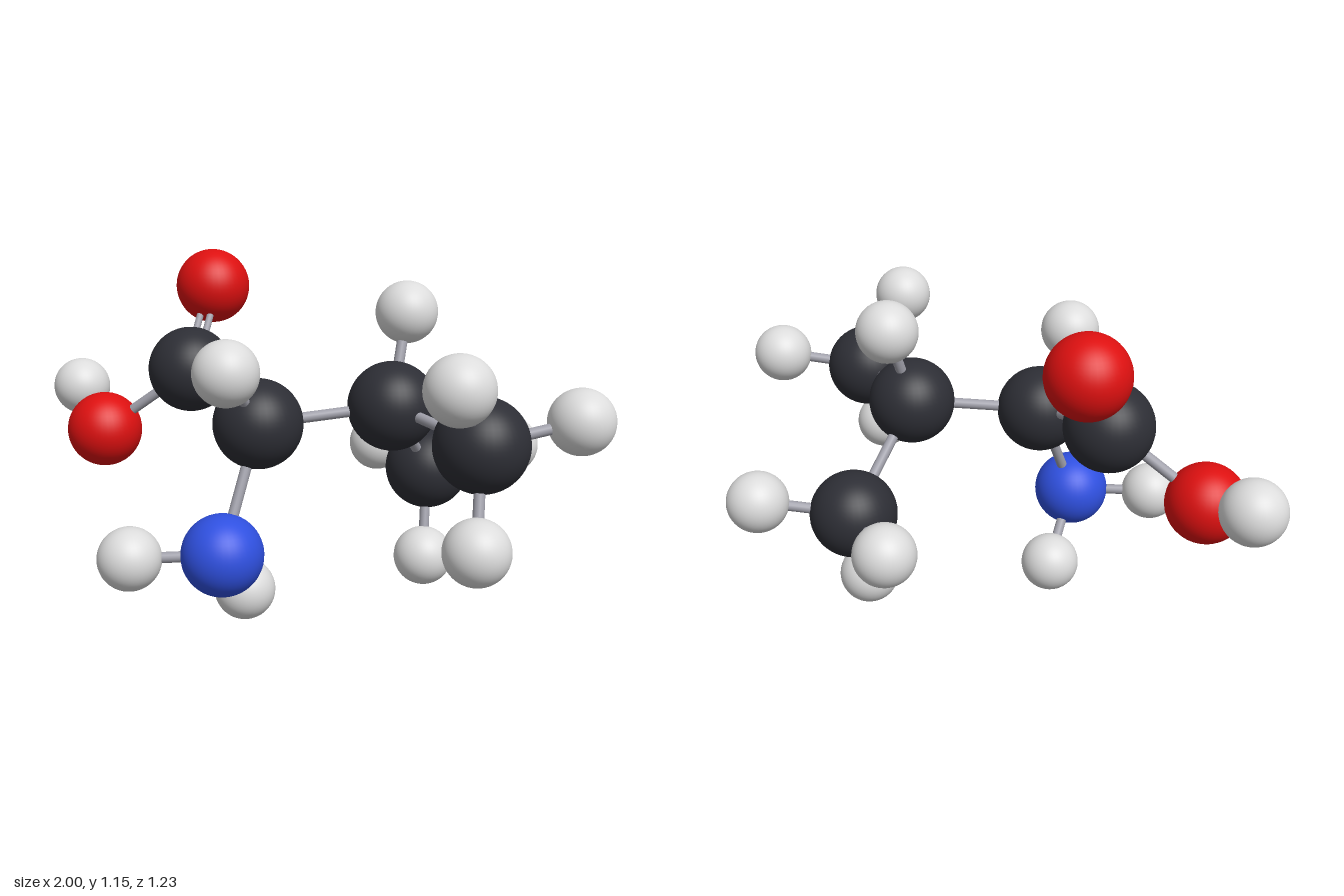
import * as THREE from 'three';

const mat = (name, color) => {
  const m = new THREE.MeshStandardMaterial({ color });
  m.name = name;
  return m;
};

export function createModel() {
  const model = new THREE.Group();
  model.name = 'ballAndStickMolecule';

  // Element styles: ball geometry and colour
  const ball = (radius) => new THREE.SphereGeometry(radius, 40, 28);
  const elements = {
    carbon: { geometry: ball(0.141), material: mat('carbon charcoal', 0x2d2e35) },
    oxygen: { geometry: ball(0.126), material: mat('oxygen red', 0xdd1010) },
    nitrogen: { geometry: ball(0.128), material: mat('nitrogen blue', 0x2f50e0) },
    hydrogen: { geometry: ball(0.099), material: mat('hydrogen light grey', 0xdcdcdc) },
  };
  const bondMaterial = mat('bond grey', 0xa0a0aa);

  // Atoms: name, element, position
  const atoms = [
    ['acidCarbon', 'carbon', -0.41, 0.775, -0.015],
    ['doubleOxygen', 'oxygen', -0.433, 1.027, -0.242],
    ['acidOxygen', 'oxygen', -0.71, 0.557, 0.055],
    ['acidHydrogen', 'hydrogen', -0.901, 0.66, -0.113],
    ['alphaCarbon', 'carbon', -0.065, 0.67, 0.212],
    ['alphaHydrogen', 'hydrogen', -0.06, 0.872, 0.447],
    ['aminoNitrogen', 'nitrogen', -0.108, 0.295, 0.392],
    ['aminoHydrogenFront', 'hydrogen', -0.362, 0.29, 0.513],
    ['aminoHydrogenLow', 'hydrogen', -0.13, 0.104, 0.183],
    ['branchCarbon', 'carbon', 0.298, 0.71, -0.01],
    ['branchHydrogen', 'hydrogen', 0.302, 0.99, -0.134],
    ['frontMethylCarbon', 'carbon', 0.643, 0.678, 0.24],
    ['frontMethylHydrogenTop', 'hydrogen', 0.63, 0.882, 0.467],
    ['frontMethylHydrogenSide', 'hydrogen', 0.897, 0.733, 0.079],
    ['frontMethylHydrogenLow', 'hydrogen', 0.67, 0.4, 0.366],
    ['backMethylCarbon', 'carbon', 0.328, 0.43, -0.33],
    ['backMethylHydrogenLow', 'hydrogen', 0.35, 0.143, -0.23],
    ['backMethylHydrogenRight', 'hydrogen', 0.086, 0.447, -0.518],
    ['backMethylHydrogenLeft', 'hydrogen', 0.575, 0.49, -0.5],
  ];
  const at = {};
  for (const [name, element, x, y, z] of atoms) {
    const { geometry, material } = elements[element];
    const mesh = new THREE.Mesh(geometry, material);
    mesh.name = name;
    mesh.position.set(x, y, z);
    model.add(mesh);
    at[name] = mesh.position;
  }

  // Bonds: cylinders joining atom centres; double bonds are two thin rods
  const up = new THREE.Vector3(0, 1, 0);
  const addRod = (name, a, b, radius, offset) => {
    const dir = b.clone().sub(a);
    const rod = new THREE.Mesh(
      new THREE.CylinderGeometry(radius, radius, dir.length(), 16), bondMaterial);
    rod.name = name;
    rod.position.copy(a).add(b).multiplyScalar(0.5);
    dir.normalize();
    rod.quaternion.setFromUnitVectors(up, dir);
    rod.position.addScaledVector(dir.cross(up).normalize(), offset);
    model.add(rod);
  };

  const bonds = {
    acidCarbon: ['acidOxygen', 'alphaCarbon'],
    acidOxygen: ['acidHydrogen'],
    alphaCarbon: ['alphaHydrogen', 'aminoNitrogen', 'branchCarbon'],
    aminoNitrogen: ['aminoHydrogenFront', 'aminoHydrogenLow'],
    branchCarbon: ['branchHydrogen', 'frontMethylCarbon', 'backMethylCarbon'],
    frontMethylCarbon: ['frontMethylHydrogenTop', 'frontMethylHydrogenSide', 'frontMethylHydrogenLow'],
    backMethylCarbon: ['backMethylHydrogenLow', 'backMethylHydrogenRight', 'backMethylHydrogenLeft'],
  };
  for (const [from, targets] of Object.entries(bonds)) {
    for (const to of targets) addRod('singleBond', at[from], at[to], 0.017, 0);
  }
  for (const side of [-1, 1]) {
    addRod('doubleBondRod', at.acidCarbon, at.doubleOxygen, 0.012, side * 0.018);
  }

  return model;
}
